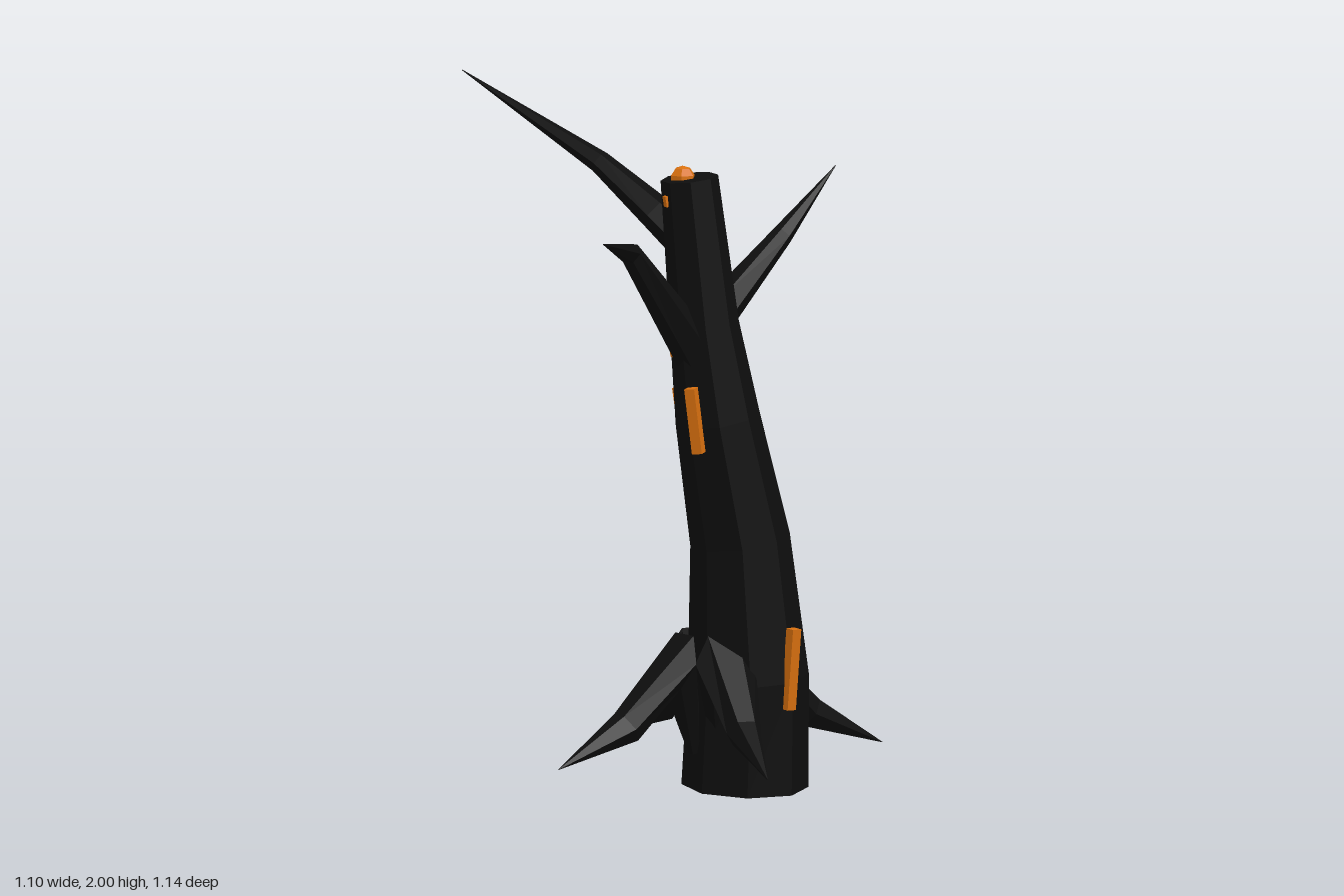
import * as THREE from 'three';

const bark = new THREE.MeshStandardMaterial({ color: 0x0e0e0e, flatShading: true });
bark.name = 'charred bark';
const ember = new THREE.MeshStandardMaterial({ color: 0xd8700f, flatShading: true });
ember.name = 'ember orange';

// Loft a faceted limb through points [x, y, z, radius]
function limb(name, pts, sides, ref, turn = 0) {
  const c = pts.map(p => new THREE.Vector3(p[0], p[1], p[2]));
  const last = c.length - 1;
  const rings = c.map((p, i) => {
    const t = new THREE.Vector3();
    if (i > 0) t.add(p.clone().sub(c[i - 1]).normalize());
    if (i < last) t.add(c[i + 1].clone().sub(p).normalize());
    t.normalize();
    const u = new THREE.Vector3().crossVectors(t, ref).normalize();
    const v = new THREE.Vector3().crossVectors(t, u);
    return Array.from({ length: sides }, (_, k) => {
      const a = turn + (k / sides) * Math.PI * 2;
      return p.clone().addScaledVector(u, Math.cos(a) * pts[i][3]).addScaledVector(v, Math.sin(a) * pts[i][3]);
    });
  });
  const pos = [];
  const tri = (...vs) => vs.forEach(q => pos.push(q.x, q.y, q.z));
  for (let k = 0; k < sides; k++) {
    const n = (k + 1) % sides;
    for (let i = 0; i < last; i++) {
      tri(rings[i][k], rings[i][n], rings[i + 1][n]);
      tri(rings[i][k], rings[i + 1][n], rings[i + 1][k]);
    }
    tri(c[0], rings[0][n], rings[0][k]);
    tri(c[last], rings[last][k], rings[last][n]);
  }
  const geo = new THREE.BufferGeometry();
  geo.setAttribute('position', new THREE.Float32BufferAttribute(pos, 3));
  geo.computeVertexNormals();
  const mesh = new THREE.Mesh(geo, bark);
  mesh.name = name;
  return mesh;
}

// Glowing strip running from a to b, turned to face along yaw
function crack(name, a, b, yaw, width = 0.03, depth = 0.03) {
  const from = new THREE.Vector3(...a), to = new THREE.Vector3(...b);
  const y = to.clone().sub(from).normalize();
  const out = new THREE.Vector3(Math.sin(yaw), 0, Math.cos(yaw));
  const x = new THREE.Vector3().crossVectors(y, out).normalize();
  const z = new THREE.Vector3().crossVectors(x, y);
  const mesh = new THREE.Mesh(new THREE.BoxGeometry(width, from.distanceTo(to), depth), ember);
  mesh.quaternion.setFromRotationMatrix(new THREE.Matrix4().makeBasis(x, y, z));
  mesh.position.copy(from).lerp(to, 0.5);
  mesh.name = name;
  return mesh;
}

export function createModel() {
  const model = new THREE.Group();
  model.name = 'deadTree';
  const zRef = new THREE.Vector3(0, 0, 1);
  const yRef = new THREE.Vector3(0, 1, 0);

  // Leaning octagonal trunk
  const flat = 1 / Math.cos(Math.PI / 8);
  const trunk = [
    [0.12, 0.015, 0.037, 0.165], [0.12, 0.33, 0.06, 0.157], [0.085, 0.72, 0.08, 0.13],
    [0.01, 1.07, 0.092, 0.11], [-0.035, 1.34, 0.1, 0.09], [-0.08, 1.757, 0.098, 0.075],
  ].map(([x, y, z, r]) => [x, y, z, r * flat]);
  model.add(limb('trunk', trunk, 8, zRef, Math.PI / 8));

  // Four arched roots around the foot: direction of each tip
  const profile = [[0.06, 0.12, 0.02], [0.12, 0.385, 0.088], [0.3, 0.21, 0.05], [0.532, 0.11, 0.001]];
  [[0.53, -0.02], [-0.53, 0.1], [-0.075, 0.53], [-0.045, -0.53]].forEach(([dx, dz], i) => {
    const len = Math.hypot(dx, dz);
    const side = new THREE.Vector3(-dz, 0, dx).normalize();
    const pts = profile.map(([r, y, w]) => [0.02 + dx / len * r, y, 0.04 + dz / len * r, w]);
    model.add(limb('root' + (i + 1), pts, 6, side, Math.PI / 2));
  });

  // Bent pointed branches
  model.add(limb('leftBranch', [
    [-0.03, 1.32, 0.09, 0.055], [0.05, 1.385, 0.06, 0.052], [0.26, 1.56, -0.015, 0.03], [0.445, 1.74, -0.06, 0.001],
  ], 6, yRef));
  model.add(limb('rightFrontBranch', [
    [-0.03, 1.2, 0.1, 0.06], [-0.11, 1.32, 0.125, 0.058], [-0.31, 1.57, 0.2, 0.032], [-0.55, 1.653, 0.54, 0.001],
  ], 6, yRef));
  model.add(limb('rightBackBranch', [
    [-0.07, 1.56, 0.08, 0.055], [-0.13, 1.645, -0.01, 0.05], [-0.23, 1.775, -0.175, 0.032], [-0.475, 2.0, -0.568, 0.001],
  ], 6, yRef));

  // Ember glowing in the broken top
  const core = new THREE.Mesh(new THREE.SphereGeometry(0.038, 6, 5), ember);
  core.position.set(-0.097, 1.753, 0.09);
  core.name = 'topEmber';
  model.add(core);

  // Glowing cracks in the bark
  model.add(crack('frontCrack', [0.172, 0.25, 0.215], [0.182, 0.48, 0.23], 0.25));
  model.add(crack('backCrack', [0.1, 0.31, -0.107], [0.093, 0.46, -0.128], Math.PI - 0.15));
  model.add(crack('frontRightCrack', [-0.082, 0.985, 0.165], [-0.106, 1.17, 0.165], -0.8));
  model.add(crack('backRightCrack', [-0.045, 0.98, 0.008], [-0.066, 1.15, -0.004], -2.3));
  model.add(crack('branchCrack', [-0.108, 1.25, 0.08], [-0.128, 1.39, 0.08], -Math.PI / 2));
  model.add(crack('topCrack', [-0.145, 1.68, 0.1], [-0.15, 1.71, 0.1], -Math.PI / 2, 0.02, 0.02));

  return model;
}
